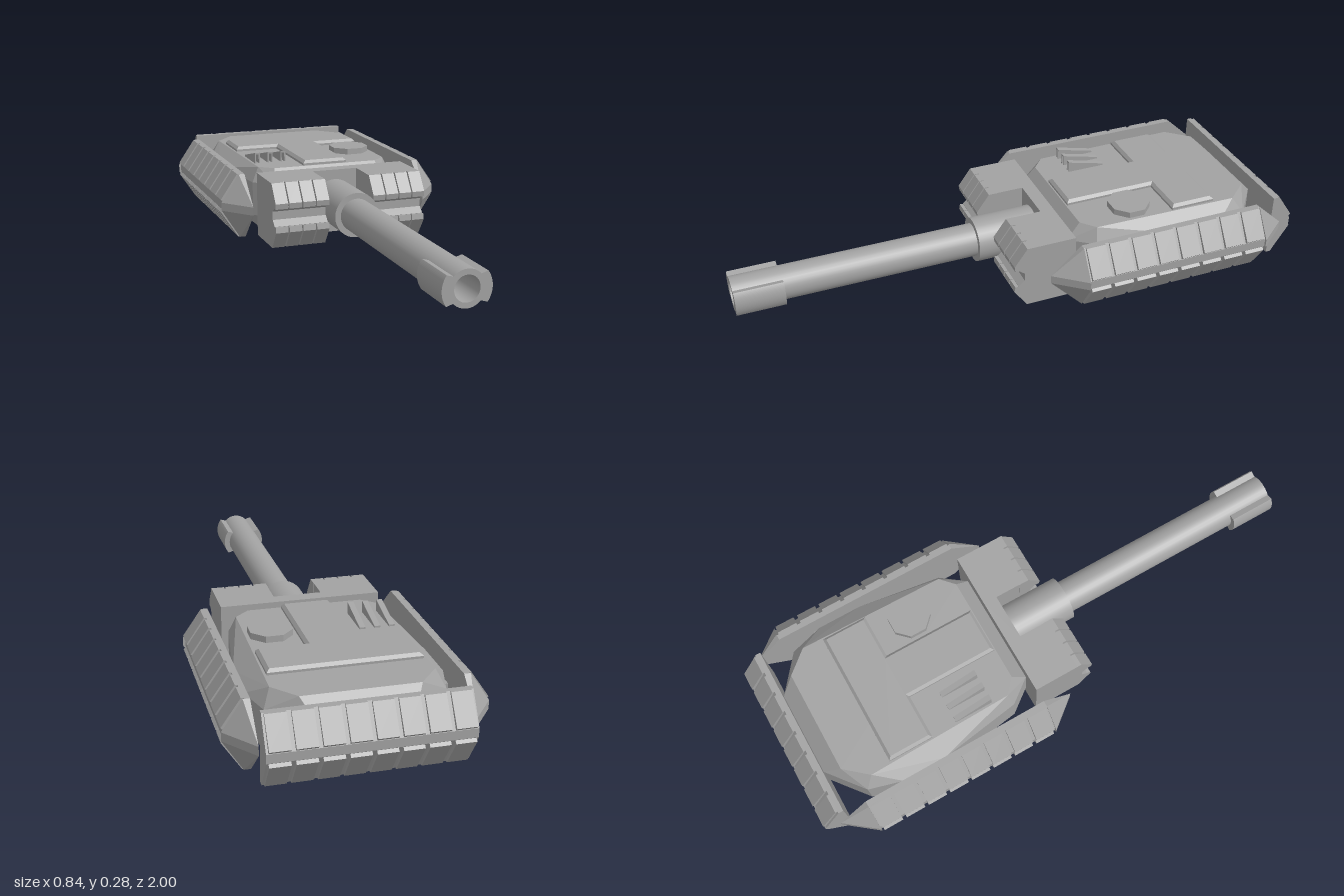
import * as THREE from 'three';
import { ConvexGeometry } from 'three/addons/geometries/ConvexGeometry.js';

const grey = new THREE.MeshStandardMaterial({ color: 0xa2a2a2 });
grey.name = 'armourGrey';

function add(parent, geometry, name, x = 0, y = 0, z = 0) {
  const mesh = new THREE.Mesh(geometry, grey);
  mesh.name = name;
  mesh.position.set(x, y, z);
  parent.add(mesh);
  return mesh;
}

const shapeOf = (points) => new THREE.Shape(points.map(([x, y]) => new THREE.Vector2(x, y)));

// Prism of a profile, running along z from a to b
function prism(points, a, b) {
  return new THREE.ExtrudeGeometry(shapeOf(points), { depth: b - a, bevelEnabled: false }).translate(0, 0, a);
}

// Wedge-shaped armour skirt: x points outward, z runs along its length
function armour(name, half, tip) {
  const group = new THREE.Group();
  group.name = name;
  const core = [[0, 0.005], [0.018, 0.005], [0.08, 0.11], [0.08, 0.14], [0.018, 0.24], [0, 0.24]];
  add(group, prism(core, -half, half), 'skirtCore');
  const step = (2 * half) / 8;
  const upper = [[0.014, 0.24], [0.026, 0.24], [0.088, 0.15], [0.078, 0.14]];
  const lower = [[0.014, 0.005], [0.078, 0.11], [0.088, 0.1], [0.026, 0.005]];
  for (let i = 0; i < 8; i++) {
    const a = -half + i * step + 0.007, b = a + step - 0.014;
    add(group, prism(upper, a, b), 'upperPlate');
    add(group, prism(lower, a, b), 'lowerPlate');
  }
  // Pointed ends
  if (tip) for (const s of [-1, 1]) {
    const outer = [[0, 0.005], [0.022, 0.005], [0.088, 0.11], [0.088, 0.14], [0.022, 0.24], [0, 0.24]];
    const pts = outer.map(([x, y]) => new THREE.Vector3(x, y, s * half));
    pts.push(new THREE.Vector3(0, 0.11, s * tip), new THREE.Vector3(0, 0.14, s * tip));
    add(group, new ConvexGeometry(pts), 'skirtEnd');
  }
  return group;
}

export function createModel() {
  const model = new THREE.Group();
  model.name = 'turret';

  // Hull: bevelled between a wide middle band and smaller roof and floor
  const middle = [[0.155, -0.912], [0.285, -0.81], [0.32, -0.69], [0.32, -0.53], [0.275, -0.23], [0.21, -0.145]];
  const roof = [[0.19, -0.855], [0.26, -0.775], [0.25, -0.24], [0.2, -0.195]];
  const hull = [];
  for (const [ring, y] of [[roof, 0.01], [middle, 0.06], [middle, 0.185], [roof, 0.24]])
    for (const [x, z] of ring) hull.push(new THREE.Vector3(x, y, z), new THREE.Vector3(-x, y, z));
  add(model, new ConvexGeometry(hull), 'hull');

  // Raised T-shaped roof panel
  const tee = shapeOf([[-0.24, 0.69], [-0.24, 0.545], [-0.075, 0.545], [-0.075, 0.21],
    [0.075, 0.21], [0.075, 0.545], [0.24, 0.545], [0.24, 0.69]]);
  const teeGeo = new THREE.ExtrudeGeometry(tee, {
    depth: 0.008, bevelThickness: 0.01, bevelSize: 0.01, bevelSegments: 1 }).rotateX(-Math.PI / 2);
  add(model, teeGeo, 'roofPanel', 0, 0.24, 0);

  // Octagonal hatch
  const hatch = new THREE.CylinderGeometry(0.076, 0.076, 0.032, 8).rotateY(Math.PI / 8).toNonIndexed();
  hatch.computeVertexNormals();
  add(model, hatch, 'hatch', 0.17, 0.246, -0.4);

  // Three wedge vents with open fronts
  for (const x of [-0.234, -0.184, -0.133]) {
    const wedge = shapeOf([[0.3, 0.235], [0.44, 0.235], [0.44, 0.246], [0.3, 0.28]]);
    const side = new THREE.ExtrudeGeometry(wedge, { depth: 0.005, bevelEnabled: false }).rotateY(Math.PI / 2);
    add(model, side, 'ventSide', x - 0.01, 0, 0);
    add(model, side, 'ventSide', x + 0.005, 0, 0);
    const top = prism([[0.3, 0.274], [0.44, 0.24], [0.44, 0.246], [0.3, 0.28]], -0.006, 0.006).rotateY(Math.PI / 2);
    add(model, top, 'ventTop', x, 0, 0);
  }

  // Side and rear armour skirts
  const left = armour('leftSkirt', 0.345, 0.455);
  left.position.set(0.33, 0, -0.488);
  const right = armour('rightSkirt', 0.345, 0.455);
  right.position.set(-0.33, 0, -0.488);
  right.rotation.y = Math.PI;
  const rear = armour('rearSkirt', 0.32, 0);
  rear.position.set(0, 0, -0.912);
  rear.rotation.y = Math.PI / 2;
  model.add(left, right, rear);
  for (const s of [-1, 1])
    add(model, new THREE.BoxGeometry(0.05, 0.05, 0.19), 'skirtBracket', s * 0.312, 0.125, -0.62);

  // Front cheek blocks with ribbed noses on each side of the gun
  const cheek = [[-0.145, 0.005], [0.02, 0.005], [0.062, 0.072], [0.068, 0.09], [0.045, 0.11],
    [0.045, 0.14], [0.068, 0.157], [0.062, 0.175], [0.02, 0.24], [-0.145, 0.24]];
  const upperRib = [[0, 0.16], [0.08, 0.155], [0.083, 0.175], [0.036, 0.24], [0, 0.24]];
  const lowerRib = upperRib.map(([z, y]) => [z, 0.245 - y]).reverse();
  // Profile is drawn as (z, y) and turned so the prism runs along x
  const across = (points, a, b) => prism(points, -b, -a).rotateY(-Math.PI / 2);
  for (const s of [-1, 1]) {
    const span = (a, b) => (s > 0 ? [a, b] : [-b, -a]);
    add(model, across(cheek, ...span(0.085, 0.283)), 'cheekBlock');
    for (let i = 0; i < 4; i++) {
      const a = 0.084 + i * 0.051, b = a + 0.046;
      add(model, across(upperRib, ...span(a, b)), 'upperRib');
      add(model, across(lowerRib, ...span(a, b)), 'lowerRib');
    }
  }
  add(model, new THREE.BoxGeometry(0.18, 0.235, 0.05), 'cheekBridge', 0, 0.1225, -0.12);

  // Gun: collar, hollow barrel and side lugs at the muzzle
  const gun = new THREE.Group();
  gun.name = 'gun';
  gun.position.y = 0.123;
  model.add(gun);
  add(gun, new THREE.CylinderGeometry(0.081, 0.081, 0.23, 32).rotateX(Math.PI / 2), 'collar', 0, 0, 0.018);
  const tube = [[[0.06, 0.1], [0.06, 1]], [[0.06, 1], [0.042, 1]], [[0.042, 1], [0.042, 0.8]], [[0.042, 0.8], [0, 0.8]]];
  for (const part of tube)
    add(gun, new THREE.LatheGeometry(part.map(([r, z]) => new THREE.Vector2(r, z)), 32).rotateX(Math.PI / 2), 'barrel');
  for (const s of [0, 1]) {
    const lug = new THREE.Shape();
    lug.absarc(0, 0, 0.081, -0.62, 0.62, false);
    lug.lineTo(0.042, 0.04);
    lug.absarc(0, 0, 0.058, 0.76, -0.76, true);
    const geo = new THREE.ExtrudeGeometry(lug, { depth: 0.17, bevelEnabled: false, curveSegments: 12 });
    add(gun, geo, 'muzzleLug', 0, 0, 0.83).rotation.z = s * Math.PI;
  }
  return model;
}
